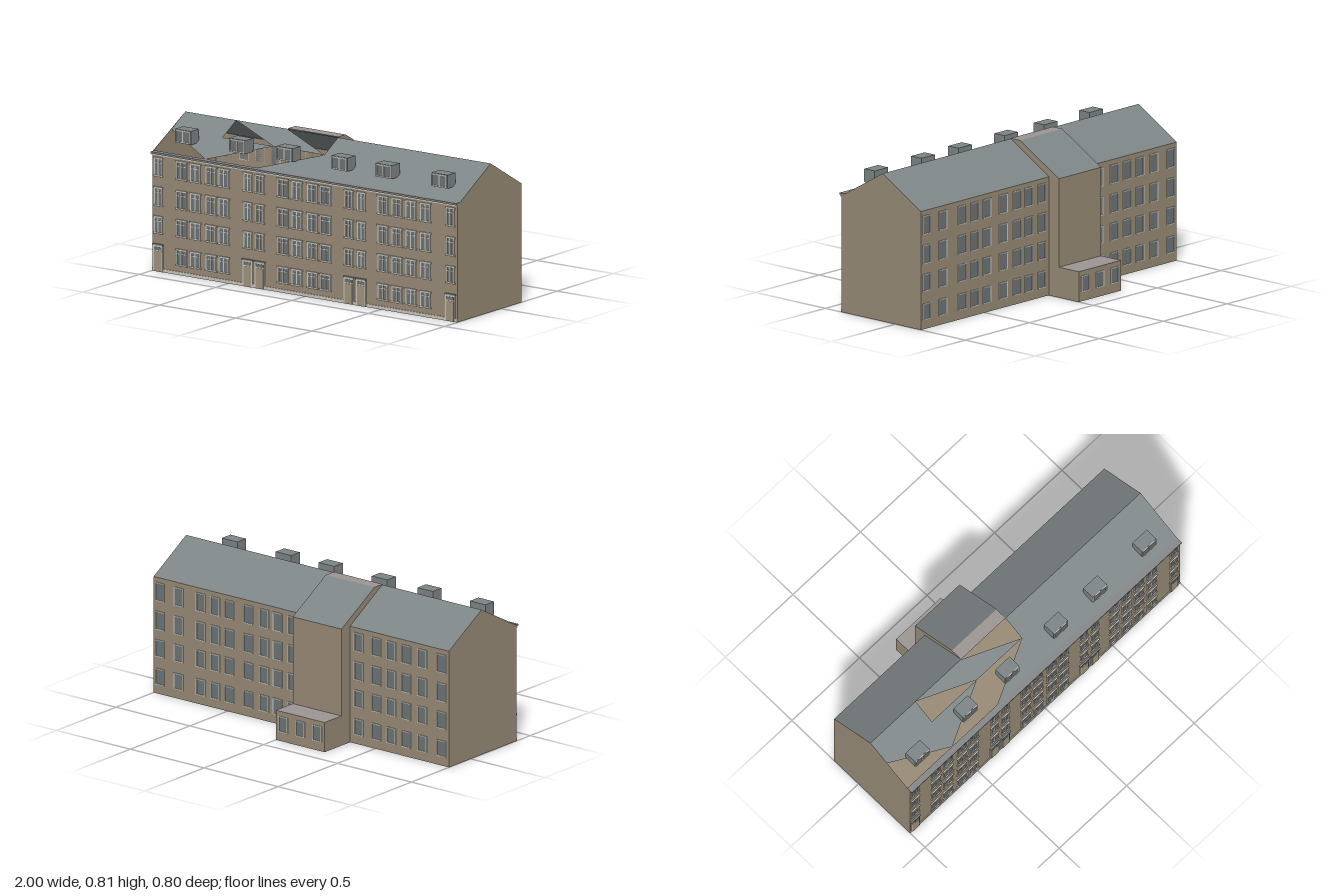
import * as THREE from 'three';

const mat = (name, color, side = THREE.FrontSide) => {
  const m = new THREE.MeshStandardMaterial({ color, side });
  m.name = name;
  return m;
};

export function createModel() {
  const root = new THREE.Group();
  root.name = 'apartmentBlock';
  const wall = mat('tanWall', 0x988b76, THREE.DoubleSide);
  const roof = mat('slateRoof', 0x7d8586, THREE.DoubleSide);
  const flat = mat('flatRoof', 0x9c9593, THREE.DoubleSide);
  const trim = mat('lightTrim', 0xcac6bc);
  const glass = mat('glass', 0x6c7476);
  const gutter = mat('gutterGrey', 0x858788);
  const door = mat('door', 0xa0947f);

  // Main section heights and depths
  const F = 0.385, B = -0.183, E = 0.645, RY = 0.805, RZ = 0.09, FZ = 0.365;
  const WB = -0.255, AB = -0.397, AH = 0.165, W0 = -0.33, W1 = 0;

  // Flat convex or fan-shaped face through a few corners
  const face = (name, m, pts) => {
    const g = new THREE.BufferGeometry();
    g.setAttribute('position', new THREE.Float32BufferAttribute(pts.flat(), 3));
    const idx = [];
    for (let i = 1; i < pts.length - 1; i++) idx.push(0, i, i + 1);
    g.setIndex(idx);
    g.computeVertexNormals();
    const mesh = new THREE.Mesh(g, m);
    mesh.name = name;
    root.add(mesh);
  };
  // Strip spanning x0..x1 between two (z, y) points, facing out when walked front to back
  const strip = (name, m, x0, x1, [za, ya], [zb, yb]) =>
    face(name, m, [[x0, ya, za], [x1, ya, za], [x1, yb, zb], [x0, yb, zb]]);
  // Side wall at x from a (z, y) outline, walked counterclockwise seen from +x
  const sideWall = (name, x, outline, right) => {
    const pts = outline.map(([z, y]) => [x, y, z]);
    face(name, wall, right ? pts : pts.reverse());
  };
  const box = (name, m, w, h, d, x, y, z, parent = root) => {
    const mesh = new THREE.Mesh(new THREE.BoxGeometry(w, h, d), m);
    mesh.position.set(x, y, z);
    mesh.name = name;
    parent.add(mesh);
  };

  // Main shell
  strip('frontWall', wall, -1, 1, [F, 0], [F, E]);
  strip('backWall', wall, -1, 1, [B, E], [B, 0]);
  strip('floor', wall, -1, 1, [B, 0], [F, 0]);
  strip('eaveLedge', gutter, -1, 1, [F, E], [FZ, E]);
  strip('backRoof', roof, -1, 1, [RZ, RY], [B, E]);
  const gable = [[RZ, RY], [FZ, E], [F, E], [F, 0], [B, 0], [B, E]];
  sideWall('leftGable', 1, gable, false);
  sideWall('rightGable', -1, gable, true);

  // Front roof: whole on one half, open triangular gaps on the other
  const mz = (FZ + RZ) / 2 - 0.015, t = (FZ - mz) / (FZ - RZ), my = E + (RY - E) * t;
  strip('frontRoof', roof, 0, 1, [FZ, E], [RZ, RY]);
  const a = -1, b = -2 / 3, c = -1 / 3;
  const top = x => [x, RY, RZ], mid = x => [x, my, mz], low = x => [x, E, FZ];
  face('frontRoofPanel', roof, [mid(a), mid(b), top(b), top(a)]);
  face('frontRoofPanel', roof, [mid(c), mid(0), top(c), top(b)]);
  face('frontRoofPanel', roof, [mid(a), low(b), mid(b)]);
  face('frontRoofPanel', roof, [low(b), mid(c), mid(b)]);
  face('frontRoofPanel', roof, [low(c), low(0), mid(0)]);

  // Rear stair wing and low annex
  strip('wingFlatRoof', flat, W0, W1, [RZ, 0.808], [0.022, 0.808]);
  strip('wingRoof', roof, W0, W1, [0.022, 0.808], [WB, 0.647]);
  strip('wingBackWall', wall, W0, W1, [WB, 0.647], [WB, AH]);
  strip('annexRoof', flat, W0, W1, [WB, AH], [AB, AH]);
  strip('annexBackWall', wall, W0, W1, [AB, AH], [AB, 0]);
  strip('wingFloor', wall, W0, W1, [AB, 0], [B, 0]);
  for (const x of [W0, W1]) {
    const r = x === W0;
    sideWall('wingSideTop', x, [[B, E], [WB, 0.647], [0.022, 0.808], [RZ, 0.808]].reverse(), !r);
    sideWall('wingSide', x, [[B, E], [B, 0], [WB, 0], [WB, 0.647]], r);
    sideWall('annexSide', x, [[WB, AH], [WB, 0], [AB, 0], [AB, AH]], r);
  }

  // Eaves gutter, rear eave and plinth
  box('frontGutter', gutter, 2, 0.01, 0.035, 0, 0.642, 0.3825);
  box('corniceBand', trim, 2, 0.006, 0.006, 0, 0.632, F + 0.003);
  box('plinth', trim, 2, 0.018, 0.004, 0, 0.009, F + 0.002);

  // Frame geometry with pane openings
  const cache = {};
  const frameGeometry = (w, h, cols, transom, bar) => {
    const key = [w, h, cols, transom].join();
    if (cache[key]) return cache[key];
    const rect = (C, x0, y0, x1, y1) => {
      const p = new C();
      p.moveTo(x0, y0); p.lineTo(x1, y0); p.lineTo(x1, y1); p.lineTo(x0, y1); p.closePath();
      return p;
    };
    const shape = rect(THREE.Shape, -w / 2, -h / 2, w / 2, h / 2);
    const pw = (w - bar * (cols + 1)) / cols;
    const split = -h / 2 + h * 0.7;
    const rows = transom ? [[-h / 2 + bar, split], [split + bar * 0.7, h / 2 - bar]]
      : [[-h / 2 + bar, h / 2 - bar]];
    for (let i = 0; i < cols; i++) {
      const x0 = -w / 2 + bar + i * (pw + bar);
      for (const [y0, y1] of rows) shape.holes.push(rect(THREE.Path, x0, y0, x0 + pw, y1));
    }
    return cache[key] = new THREE.ExtrudeGeometry(shape, { depth: 0.005, bevelEnabled: false });
  };
  // Window on a wall facing dir (+1 front, -1 back)
  const addWindow = (x, y0, y1, z, w, dir, cols, transom, bar, ledges) => {
    const g = new THREE.Group(), h = y1 - y0;
    g.name = 'window';
    const frame = new THREE.Mesh(frameGeometry(w, h, cols, transom, bar), trim);
    frame.name = 'windowFrame';
    g.add(frame);
    box('windowGlass', glass, w - 0.004, h - 0.004, 0.002, 0, 0, 0.001, g);
    if (ledges) for (const s of [-1, 1])
      box(s < 0 ? 'sill' : 'lintel', trim, w + 0.01, 0.008, 0.007, 0, s * (h / 2 - 0.003), 0.0035, g);
    g.position.set(x, (y0 + y1) / 2, z);
    if (dir < 0) g.rotation.y = Math.PI;
    root.add(g);
  };

  const rows = [[0.05, 0.14], [0.205, 0.3], [0.355, 0.458], [0.515, 0.618]];
  const wide = [-0.807, -0.717, -0.615, -0.53, -0.142, -0.052, 0.05, 0.137, 0.512, 0.604, 0.695, 0.79];
  const narrow = [-0.96, -0.373, -0.293, 0.29, 0.37, 0.955];
  const back = [0.957, 0.83, 0.68, 0.582, 0.486, 0.357, 0.25, 0.16, 0.057,
    -0.39, -0.51, -0.61, -0.71, -0.82, -0.95];
  rows.forEach(([y0, y1], i) => {
    for (const x of wide) addWindow(x, y0, y1, F, 0.066, 1, 2, true, 0.006, true);
    if (i) for (const x of narrow) addWindow(x, y0, y1, F, 0.052, 1, 2, true, 0.006, true);
    for (const x of back) addWindow(x, y0, y1, B, 0.062, -1, 1, false, 0.005, false);
  });
  for (const x of [-0.05, -0.165, -0.28]) addWindow(x, 0.05, 0.138, AB + 0.001, 0.062, -1, 1, false, 0.005, false);

  // Entrance doors
  for (const x of narrow) {
    box('doorFrame', trim, 0.064, 0.145, 0.005, x, 0.0725, F + 0.0025);
    box('doorLeaf', door, 0.05, 0.11, 0.002, x, 0.056, F + 0.006);
    box('doorTransom', glass, 0.05, 0.017, 0.002, x, 0.125, F + 0.006);
    box('doorCanopy', gutter, 0.07, 0.008, 0.009, x, 0.146, F + 0.0045);
  }

  // Box dormers
  for (const x of [-0.845, -0.49, -0.18, 0.18, 0.47, 0.835]) {
    box('dormer', roof, 0.105, 0.073, 0.072, x, 0.7335, 0.286);
    addWindow(x, 0.699, 0.768, 0.322, 0.1, 1, 2, false, 0.006, false);
  }
  return root;
}
